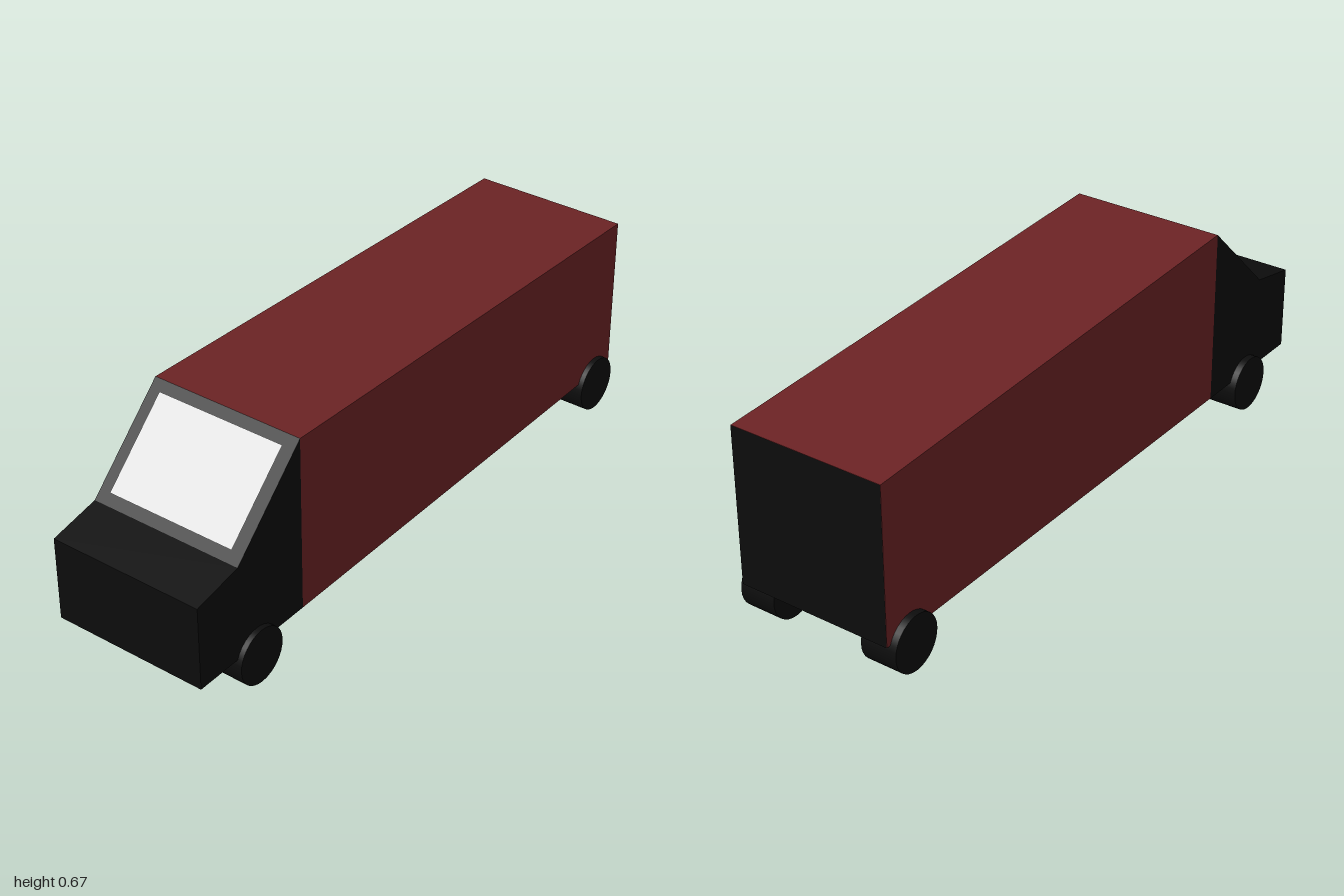
import * as THREE from 'three';

const paint = (name, color) => {
  const m = new THREE.MeshStandardMaterial({ color });
  m.name = name;
  return m;
};

export function createModel() {
  const red = paint('dark red', 0x6c2325);
  const black = paint('black', 0x0d0d0d);
  const glass = paint('pale glass', 0xdcdcdc);

  const van = new THREE.Group();
  van.name = 'van';
  const width = 0.495, midX = 0.0025;

  const add = (name, geometry, material, x, y, z) => {
    const mesh = new THREE.Mesh(geometry, material);
    mesh.name = name;
    mesh.position.set(x, y, z);
    van.add(mesh);
    return mesh;
  };

  // Extrudes a side profile of [z, y] points across the width of the van
  const sideProfile = (points) => {
    const shape = new THREE.Shape(points.map(([z, y]) => new THREE.Vector2(-z, y)));
    const geometry = new THREE.ExtrudeGeometry(shape, { depth: width, bevelEnabled: false });
    return geometry.translate(0, 0, -width / 2).rotateY(Math.PI / 2);
  };

  // Cab with short bonnet and sloping front
  const floor = 0.118, split = 0.573, roof = 0.673;
  add('cab', sideProfile([
    [1, floor], [split, floor], [split, roof], [0.838, 0.415], [1, 0.383],
  ]), black, midX, 0, 0);

  // Cargo body, its roof falling slightly to the rear
  add('cargoBody', sideProfile([
    [split, floor], [-0.999, floor], [-0.999, 0.614], [split, roof],
  ]), red, midX, 0, 0);

  // Rear door panel
  const door = add('rearDoor', new THREE.PlaneGeometry(width, 0.614 - floor), black,
    midX, (0.614 + floor) / 2, -1);
  door.rotation.y = Math.PI;

  // Windscreen lying on the slope of the cab
  const screen = add('windscreen', new THREE.PlaneGeometry(0.421, 0.301), glass,
    midX, 0.546, 0.707);
  screen.rotation.x = -Math.atan2(0.838 - split, roof - 0.415);
  screen.translateZ(0.002);

  // Four wheels
  const wheel = new THREE.CylinderGeometry(0.087, 0.087, 0.116, 32).rotateZ(Math.PI / 2);
  for (const [end, z] of [['front', 0.77], ['rear', -0.904]]) {
    for (const [side, s] of [['Left', 1], ['Right', -1]]) {
      add(`${end}${side}Wheel`, wheel, black, s * 0.2085, 0.087, z);
    }
  }
  return van;
}
